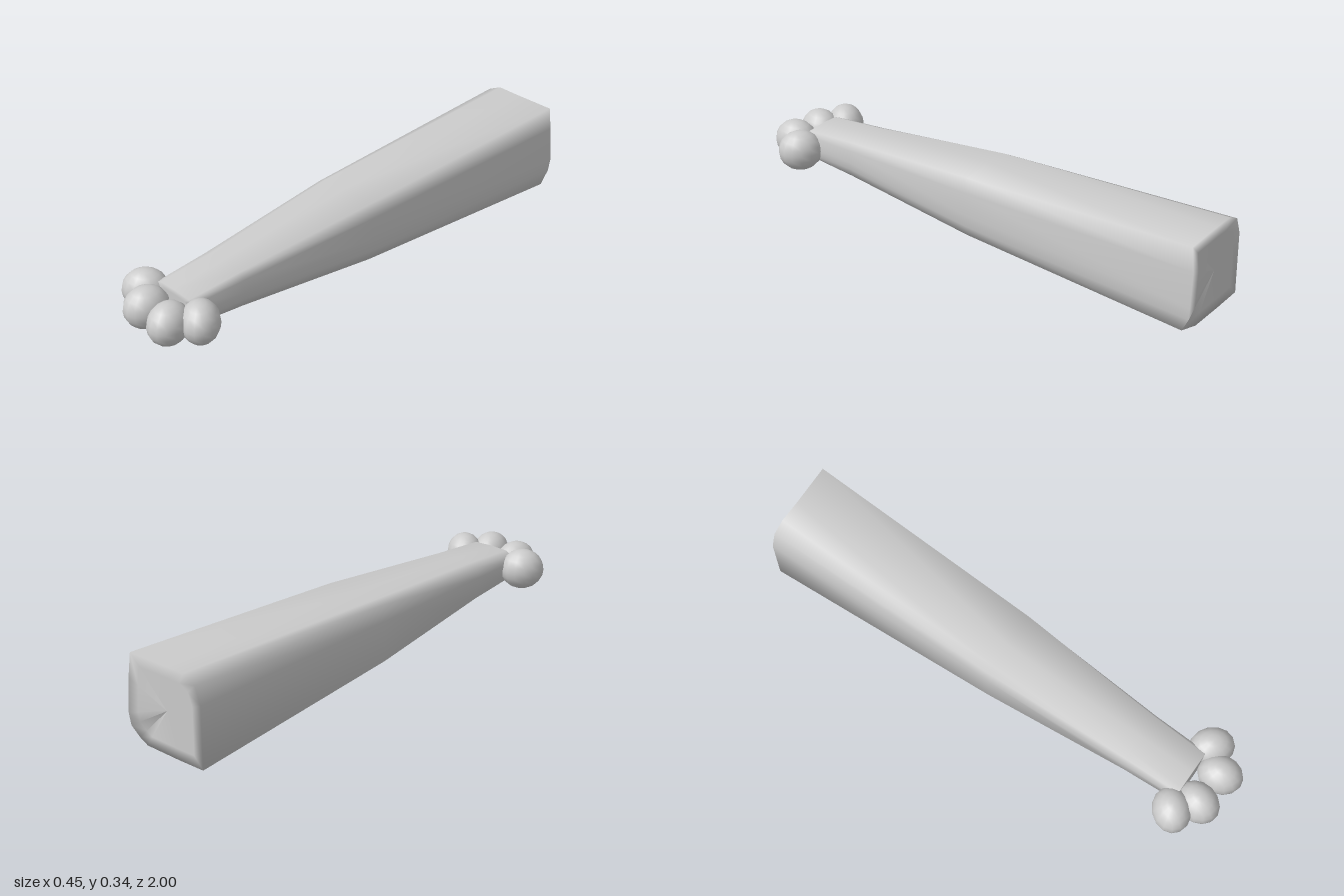
import * as THREE from 'three';

const material = new THREE.MeshStandardMaterial({ color: 0xcccccc });

// Outlines of the limb, counter-clockwise as seen from the front: [x, y, z offset]
const sections = [
  { z: 0.83, pts: [[-0.095, 0.125], [-0.03, 0.118], [0.06, 0.118], [0.09, 0.125], [0.102, 0.145], [0.105, 0.175],
    [0.1, 0.215], [0.085, 0.233], [0, 0.238], [-0.07, 0.236], [-0.095, 0.225], [-0.105, 0.195]] },
  { z: 0.6, pts: [[-0.1, 0.108], [-0.03, 0.1], [0.06, 0.1], [0.1, 0.108], [0.11, 0.14], [0.112, 0.17],
    [0.11, 0.22], [0.095, 0.25], [0, 0.256], [-0.07, 0.253], [-0.1, 0.24], [-0.112, 0.2]] },
  { z: 0, pts: [[-0.135, 0.053], [-0.04, 0.045], [0.1, 0.045], [0.14, 0.055], [0.156, 0.1], [0.16, 0.15],
    [0.155, 0.24], [0.14, 0.297], [0, 0.304], [-0.1, 0.302], [-0.13, 0.285], [-0.138, 0.22]] },
  { z: -0.985, pts: [[-0.17, 0.003], [-0.05, 0], [0.11, 0], [0.172, 0.003, 0.02], [0.18, 0.06, -0.01], [0.185, 0.11, -0.015],
    [0.175, 0.25, -0.015], [0.172, 0.345, -0.005], [0, 0.345], [-0.09, 0.345], [-0.145, 0.318], [-0.17, 0.25]] },
];

// Shrinks an outline towards its middle to close an end
function inset({ z, pts }, s) {
  return { z, pts: pts.map(([x, y, dz = 0]) => [x * s, 0.173 + (y - 0.173) * s, dz * s]) };
}

function loft(rings) {
  const n = rings[0].pts.length;
  const position = [];
  const index = [];
  for (const { z, pts } of rings) {
    for (const [x, y, dz = 0] of pts) position.push(x, y, z + dz);
  }
  for (let j = 0; j < rings.length - 1; j++) {
    for (let i = 0; i < n; i++) {
      const a = j * n + i;
      const b = j * n + (i + 1) % n;
      index.push(a, a + n, b, b, a + n, b + n);
    }
  }
  const geometry = new THREE.BufferGeometry();
  geometry.setAttribute('position', new THREE.Float32BufferAttribute(position, 3));
  geometry.setIndex(index);
  geometry.computeVertexNormals();
  return geometry;
}

export function createModel() {
  const model = new THREE.Group();
  model.name = 'pawedLimb';

  // Tapered limb with both ends closed
  const front = sections[0];
  const back = sections[sections.length - 1];
  const limb = new THREE.Mesh(
    loft([inset(front, 0), inset(front, 0.7), ...sections, inset(back, 0.75), inset(back, 0)]), material);
  limb.name = 'limb';
  model.add(limb);

  // Four rounded toes fanned around the front end: x, y, z, turn
  const toes = [
    ['outerRightToe', -0.147, 0.175, 0.84, -0.8],
    ['innerRightToe', -0.065, 0.168, 0.904, -0.2],
    ['innerLeftToe', 0.071, 0.17, 0.914, 0.2],
    ['outerLeftToe', 0.143, 0.172, 0.83, 0.8],
  ];
  const toeGeometry = new THREE.SphereGeometry(1, 14, 10);
  for (const [name, x, y, z, turn] of toes) {
    const toe = new THREE.Mesh(toeGeometry, material);
    toe.name = name;
    toe.scale.set(0.073, 0.082, 0.088);
    toe.position.set(x, y, z);
    toe.rotation.y = turn;
    model.add(toe);
  }
  return model;
}
